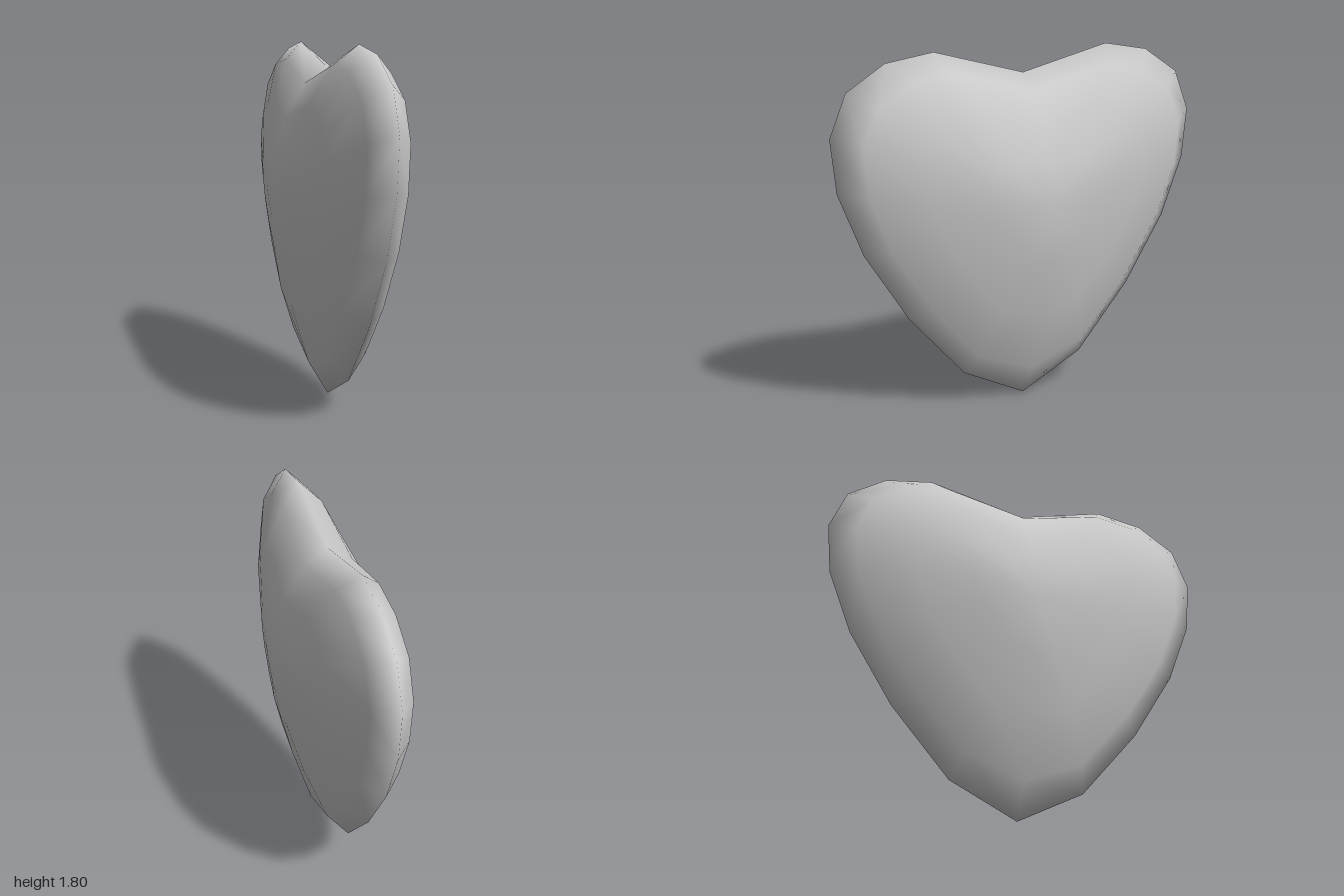
import * as THREE from 'three';

// Half of the heart outline as [z, y], from the bottom tip to the top notch
const HALF = [
  [0, 0], [0.34, 0.17], [0.635, 0.51], [0.855, 0.86], [0.975, 1.17],
  [1, 1.43], [0.915, 1.635], [0.72, 1.76], [0.475, 1.8], [0, 1.68],
];
// Rings from the rim inwards: [scale about the centre, half thickness]
const RINGS = [[1, 0], [0.875, 0.1], [0.6, 0.193], [0.31, 0.258], [0.14, 0.279]];
const CENTRE_Y = 1.07;
const APEX_X = 0.284;

function heartGeometry() {
  const outline = [...HALF, ...HALF.slice(1, -1).reverse().map(([z, y]) => [-z, y])];
  const n = outline.length;
  const notch = HALF.length - 1;
  const positions = [];
  const index = [];

  // One ring of points; the notch is fuller and the tip is slightly lifted
  const addRing = (s, x, side) => {
    const start = positions.length / 3;
    const swell = s * s * (1 - s);
    outline.forEach(([z, y], i) => {
      const px = x + (i === notch ? 0.2 * swell : 0);
      const py = CENTRE_Y + (y - CENTRE_Y) * s + (i === 0 ? 0.38 * swell : 0);
      positions.push(side * px, py, z * s);
    });
    return start;
  };
  const addFace = (a, b, c, side) => (side > 0 ? index.push(a, b, c) : index.push(a, c, b));

  // Both domes share the rim, so the shading runs smoothly across it
  const rim = addRing(...RINGS[0], 1);
  for (const side of [1, -1]) {
    let outer = rim;
    for (const [s, x] of RINGS.slice(1)) {
      const inner = addRing(s, x, side);
      for (let i = 0; i < n; i++) {
        const j = (i + 1) % n;
        addFace(outer + i, inner + i, outer + j, side);
        addFace(outer + j, inner + i, inner + j, side);
      }
      outer = inner;
    }
    const apex = positions.length / 3;
    positions.push(side * APEX_X, CENTRE_Y, 0);
    for (let i = 0; i < n; i++) addFace(outer + i, apex, outer + ((i + 1) % n), side);
  }

  const geometry = new THREE.BufferGeometry();
  geometry.setAttribute('position', new THREE.Float32BufferAttribute(positions, 3));
  geometry.setIndex(index);
  geometry.computeVertexNormals();
  return geometry;
}

export function createModel() {
  const group = new THREE.Group();
  group.name = 'heart';
  const body = new THREE.Mesh(heartGeometry(), new THREE.MeshStandardMaterial({ color: 0xcccccc }));
  body.name = 'heartBody';
  group.add(body);
  return group;
}
